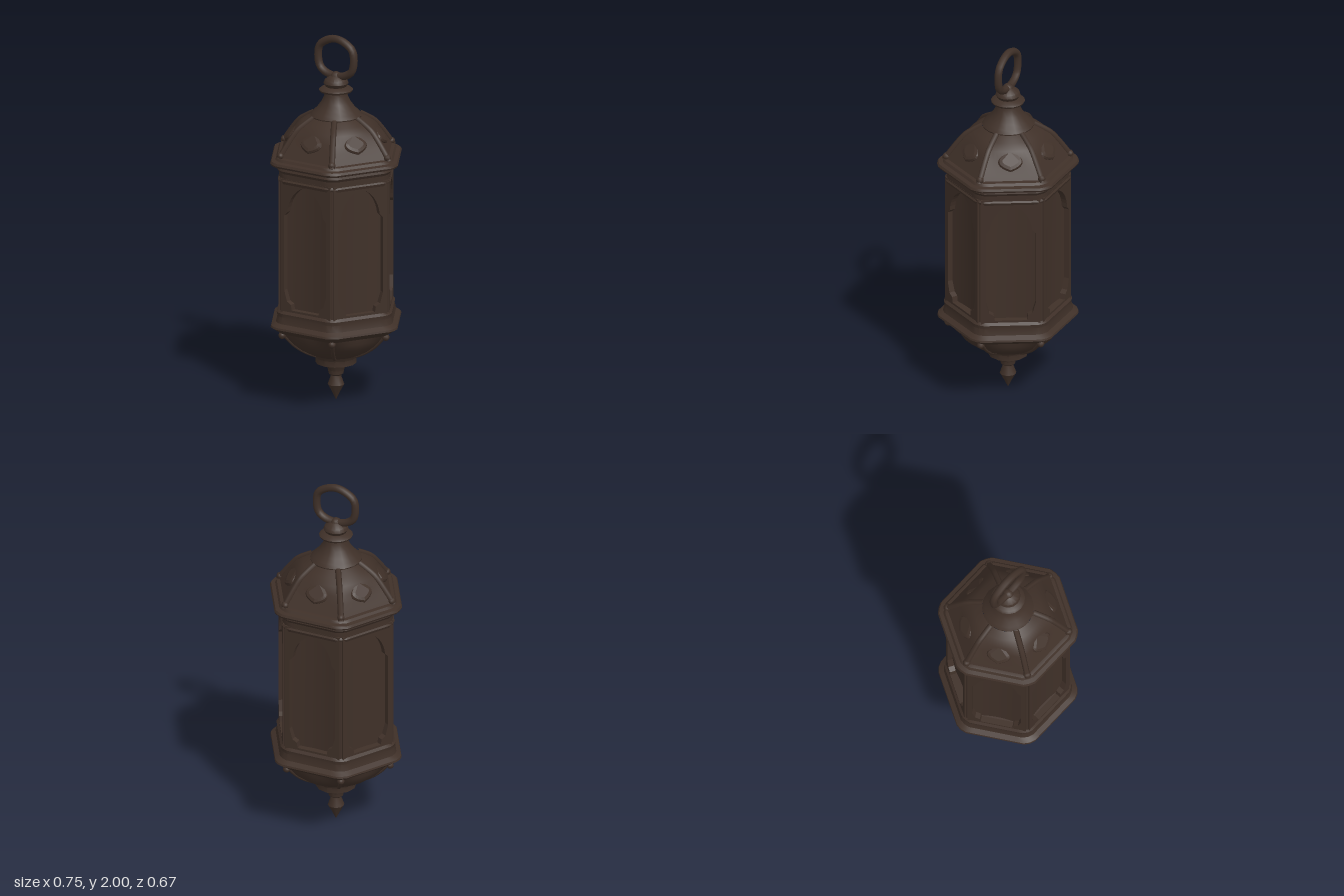
import * as THREE from 'three';
import { toCreasedNormals } from 'three/addons/utils/BufferGeometryUtils.js';

const bronze = new THREE.MeshStandardMaterial({ color: 0x3f3028 });
bronze.name = 'dark bronze';

const SIXTH = Math.PI / 3;
const vec2 = (list) => list.map(([r, y]) => new THREE.Vector2(r, y));

function add(parent, name, geometry, x = 0, y = 0, z = 0) {
  const mesh = new THREE.Mesh(geometry, bronze);
  mesh.name = name;
  mesh.position.set(x, y, z);
  parent.add(mesh);
  return mesh;
}

// Round turned profile, listed from bottom to top
function turned(profile, segments) {
  return toCreasedNormals(new THREE.LatheGeometry(vec2(profile), segments), 0.6);
}

// Hexagonal profile with corners on x. Corners are cut at a share of the radius,
// and roundness(y) turns the hexagon into a circle.
function hexTurned(profile, cornerCut, roundness = () => 0) {
  const g = new THREE.LatheGeometry(vec2(profile), 72, Math.PI / 6);
  const p = g.attributes.position;
  for (let i = 0; i < p.count; i++) {
    const a = Math.atan2(p.getX(i), p.getZ(i));
    const d = a - Math.round(a / SIXTH) * SIXTH;
    const hex = Math.min(Math.cos(Math.PI / 6) / Math.cos(d), cornerCut);
    const t = THREE.MathUtils.clamp(roundness(p.getY(i)), 0, 1);
    const f = THREE.MathUtils.lerp(hex, 1, t);
    p.setX(i, p.getX(i) * f);
    p.setZ(i, p.getZ(i) * f);
  }
  return toCreasedNormals(g, 0.45);
}

// Rib that follows a dome profile in the plane of a corner
function rib(profile, radius) {
  const path = new THREE.CatmullRomCurve3(profile.map(([r, y]) => new THREE.Vector3(0, y, r)));
  return new THREE.TubeGeometry(path, 14, radius, 6);
}

// Side frame with a pointed arch opening and stepped lower corners
function archFrame() {
  const s = new THREE.Shape(vec2([[-0.157, 0.5], [0.157, 0.5], [0.157, 1.26], [-0.157, 1.26]]));
  const h = new THREE.Path();
  h.moveTo(-0.085, 0.545);
  h.lineTo(0.085, 0.545);
  h.lineTo(0.09, 0.575);
  h.lineTo(0.115, 0.59);
  h.lineTo(0.132, 0.65);
  h.lineTo(0.132, 1.06);
  h.lineTo(0.113, 1.08);
  h.quadraticCurveTo(0.1, 1.19, 0, 1.235);
  h.quadraticCurveTo(-0.1, 1.19, -0.113, 1.08);
  h.lineTo(-0.132, 1.06);
  h.lineTo(-0.132, 0.65);
  h.lineTo(-0.115, 0.59);
  h.lineTo(-0.09, 0.575);
  s.holes.push(h);
  return new THREE.ExtrudeGeometry(s, { depth: 0.032, bevelEnabled: false, curveSegments: 8 });
}

// Pane that curves slightly inward
function pane() {
  const g = new THREE.PlaneGeometry(0.29, 0.74, 10, 1);
  const p = g.attributes.position;
  for (let i = 0; i < p.count; i++) p.setZ(i, 0.018 * (p.getX(i) / 0.145) ** 2);
  g.computeVertexNormals();
  return g;
}

// Pointed leaf relief
function leaf(w, h) {
  const s = new THREE.Shape();
  s.moveTo(0, -h);
  s.quadraticCurveTo(w * 1.3, -h * 0.6, w, 0);
  s.quadraticCurveTo(w * 0.5, h * 0.5, 0, h);
  s.quadraticCurveTo(-w * 0.5, h * 0.5, -w, 0);
  s.quadraticCurveTo(-w * 1.3, -h * 0.6, 0, -h);
  return new THREE.ExtrudeGeometry(s, {
    depth: 0.004, bevelThickness: 0.014, bevelSize: 0.022, bevelOffset: -0.022, bevelSegments: 2, curveSegments: 6,
  });
}

export function createModel() {
  const lantern = new THREE.Group();
  lantern.name = 'hangingLantern';

  const roofProfile = [[0.335, 1.36], [0.315, 1.39], [0.29, 1.425], [0.26, 1.465], [0.225, 1.505], [0.18, 1.535], [0.135, 1.56]];
  const bowlProfile = [[0.12, 0.255], [0.155, 0.27], [0.2, 0.295], [0.25, 0.333], [0.285, 0.37], [0.318, 0.41]];

  // Finial and round foot
  add(lantern, 'finial', turned([
    [0, 0], [0.022, 0.045], [0.044, 0.085], [0.03, 0.125], [0.028, 0.135], [0.04, 0.145], [0.042, 0.165],
    [0.054, 0.19], [0.075, 0.2], [0.108, 0.205], [0.108, 0.235], [0.125, 0.26], [0, 0.27],
  ], 12));
  // Bowl, rims and top band
  add(lantern, 'bowl', hexTurned(bowlProfile, 1, (y) => (0.41 - y) / 0.085));
  add(lantern, 'lowerRim', hexTurned([
    [0.29, 0.4], [0.335, 0.405], [0.36, 0.422], [0.386, 0.438], [0.383, 0.448], [0.355, 0.465], [0.346, 0.5],
    [0.35, 0.52], [0.336, 0.535], [0.28, 0.54],
  ], 0.965));
  add(lantern, 'upperBand', hexTurned([
    [0.28, 1.23], [0.338, 1.23], [0.344, 1.245], [0.336, 1.255], [0.336, 1.285], [0.346, 1.3], [0.341, 1.312],
    [0.358, 1.318], [0.384, 1.325], [0.389, 1.335], [0.382, 1.347], [0.358, 1.352], [0.348, 1.365], [0.328, 1.37], [0.28, 1.37],
  ], 0.96));
  // Roof and turned neck
  add(lantern, 'roof', hexTurned(roofProfile, 1, (y) => (y - 1.45) / 0.11));
  add(lantern, 'neck', turned([
    [0.133, 1.55], [0.137, 1.565], [0.122, 1.583], [0.1, 1.605], [0.078, 1.635], [0.062, 1.67], [0.06, 1.685],
    [0.085, 1.693], [0.09, 1.703], [0.08, 1.712], [0.055, 1.72], [0.066, 1.738], [0.06, 1.755], [0.035, 1.775], [0, 1.795],
  ], 16));

  // Six sides
  const frameGeo = archFrame(), paneGeo = pane(), leafGeo = leaf(0.062, 0.07);
  for (let i = 0; i < 6; i++) {
    const side = new THREE.Group();
    side.name = 'side' + (i + 1);
    side.rotation.y = i * SIXTH;
    add(side, 'archFrame', frameGeo, 0, 0, 0.26);
    add(side, 'pane', paneGeo, 0, 0.88, 0.248);
    add(side, 'roofLeaf', leafGeo, 0, 1.465, 0.219).rotation.x = -0.72;
    lantern.add(side);
  }

  // Six corners
  const postGeo = new THREE.CylinderGeometry(0.018, 0.018, 0.72, 8);
  const roofRib = rib(roofProfile, 0.016), bowlRib = rib(bowlProfile, 0.01);
  const knobGeo = new THREE.IcosahedronGeometry(0.02, 1);
  for (let i = 0; i < 6; i++) {
    const corner = new THREE.Group();
    corner.name = 'corner' + (i + 1);
    corner.rotation.y = (i + 0.5) * SIXTH;
    add(corner, 'post', postGeo, 0, 0.88, 0.309);
    add(corner, 'roofRib', roofRib);
    add(corner, 'bowlRib', bowlRib);
    add(corner, 'roofKnob', knobGeo, 0, 1.378, 0.325);
    add(corner, 'bowlKnob', knobGeo, 0, 0.393, 0.315);
    lantern.add(corner);
  }

  // Hanging ring with flattened shoulders
  const ringPath = new THREE.CatmullRomCurve3([
    [0, 1.775], [0.06, 1.785], [0.1, 1.815], [0.113, 1.875], [0.102, 1.93], [0.05, 1.967], [0, 1.978],
    [-0.05, 1.967], [-0.102, 1.93], [-0.113, 1.875], [-0.1, 1.815], [-0.06, 1.785],
  ].map(([x, y]) => new THREE.Vector3(x, y, 0)), true);
  add(lantern, 'ring', new THREE.TubeGeometry(ringPath, 40, 0.021, 8, true));
  add(lantern, 'ringSocket', new THREE.SphereGeometry(0.032, 10, 8), 0, 1.768, 0);

  return lantern;
}
